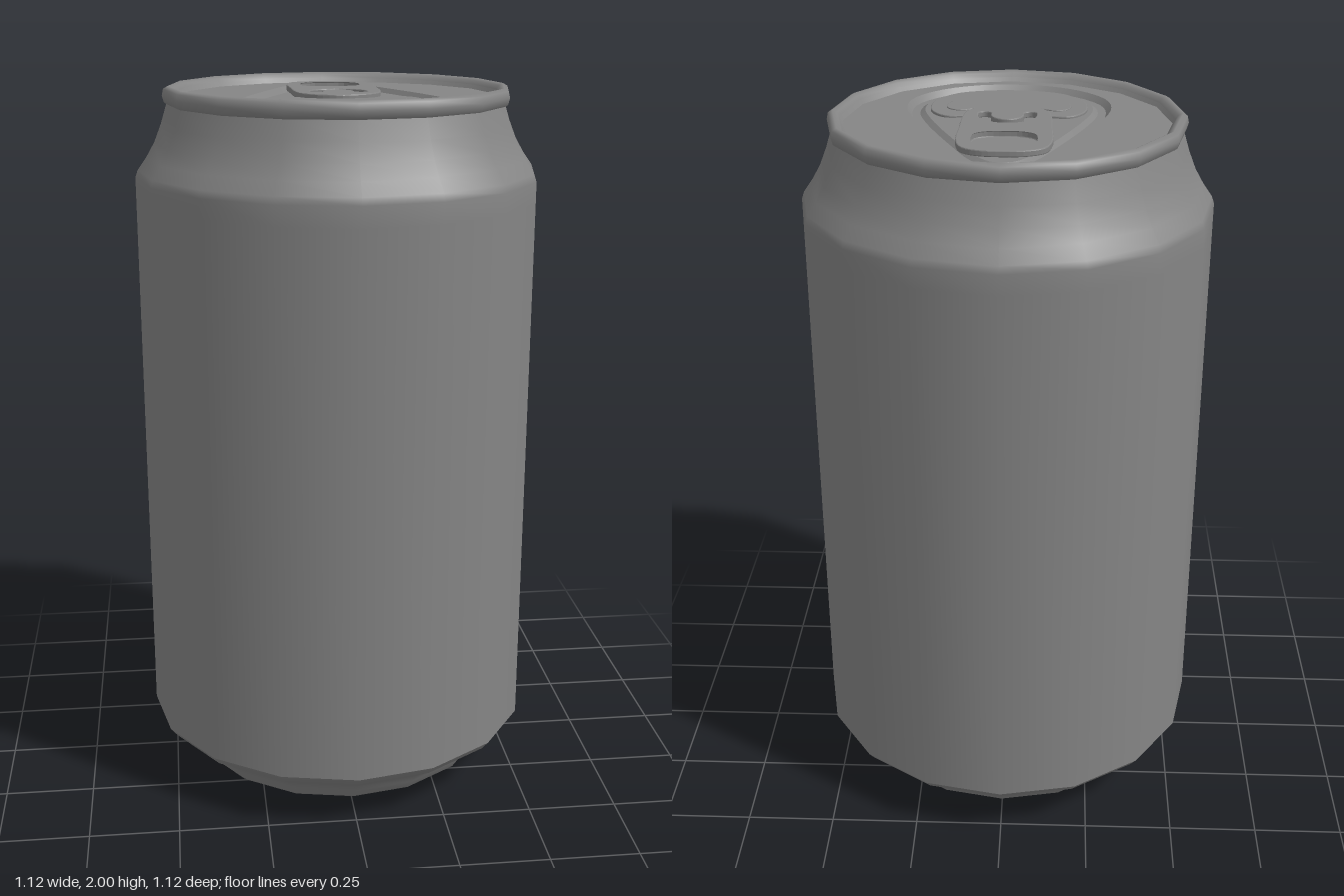
import * as THREE from 'three';

const SIDES = 16;
const LID_Y = 1.972, GROOVE_Y = 1.956, PANEL_Y = 1.966;
const V2 = (x, y) => new THREE.Vector2(x, y);

export function createModel() {
  const can = new THREE.Group();
  can.name = 'drinkCan';
  const mat = new THREE.MeshStandardMaterial({ color: 0x858585, side: THREE.DoubleSide });

  const add = (name, geometry) => {
    const mesh = new THREE.Mesh(geometry, mat);
    mesh.name = name;
    can.add(mesh);
  };
  const lathe = (name, profile) =>
    add(name, new THREE.LatheGeometry(profile.map(([r, y]) => V2(r, y)), SIDES));

  // Mirrored smooth outline from its +x half, as plan points (x, -z)
  const outline = (half, divisions = 56) => {
    const left = half.slice(1, -1).reverse().map(([x, z]) => [-x, z]);
    const pts = [...half, ...left].map(([x, z]) => new THREE.Vector3(x, -z, 0));
    const curve = new THREE.CatmullRomCurve3(pts, true);
    return curve.getPoints(divisions).slice(0, -1).map(p => V2(p.x, p.y));
  };
  // Clockwise outline moved inward by d
  const inset = (pts, d) => pts.map((p, i) => {
    const t = pts[(i + 1) % pts.length].clone().sub(pts.at(i - 1)).normalize();
    return V2(p.x + t.y * d, p.y - t.x * d);
  });
  // Flat sheet or thin plate lying on the lid
  const sheet = (name, shape, y) =>
    add(name, new THREE.ShapeGeometry(shape).rotateX(-Math.PI / 2).translate(0, y, 0));
  const plate = (name, shape, y, depth, bevel) =>
    add(name, new THREE.ExtrudeGeometry(shape, {
      depth: depth - bevel, bevelEnabled: true, bevelThickness: bevel,
      bevelSize: bevel, bevelOffset: -bevel, bevelSegments: 2,
    }).rotateX(-Math.PI / 2).translate(0, y, 0));
  // Band between two matching outlines
  const band = (name, outer, outerY, inner, innerY) => {
    const pos = [], index = [], n = outer.length;
    for (let i = 0; i < n; i++) {
      pos.push(outer[i].x, outerY, -outer[i].y, inner[i].x, innerY, -inner[i].y);
      const a = 2 * i, b = 2 * ((i + 1) % n);
      index.push(a, a + 1, b, b, a + 1, b + 1);
    }
    const g = new THREE.BufferGeometry();
    g.setAttribute('position', new THREE.Float32BufferAttribute(pos, 3));
    g.setIndex(index);
    g.computeVertexNormals();
    add(name, g);
  };

  // Body shell
  lathe('base', [[0, 0], [0.22, 0.004], [0.3, 0.015], [0.4, 0.028], [0.425, 0.031],
    [0.438, 0.042], [0.448, 0.062], [0.467, 0.088], [0.5, 0.112], [0.54, 0.138], [0.56, 0.163]]);
  lathe('wallAndNeck', [[0.56, 0.163], [0.56, 1.7], [0.56, 1.755], [0.553, 1.775],
    [0.528, 1.81], [0.505, 1.85], [0.485, 1.9], [0.468, 1.955]]);
  lathe('rim', [[0.465, 1.95], [0.475, 1.957], [0.48, 1.975], [0.476, 1.993], [0.464, 2],
    [0.452, 1.994], [0.445, 1.983]]);
  lathe('rimInnerWall', [[0.445, 1.983], [0.437, LID_Y]]);

  // Lid with a teardrop groove around a slightly sunken panel
  const tear = outline([[0, -0.395], [0.06, -0.378], [0.115, -0.31], [0.165, -0.2],
    [0.25, 0.02], [0.279, 0.14], [0.267, 0.24], [0.2, 0.33], [0.1, 0.385], [0, 0.398]]);
  const grooveOuter = inset(tear, 0.014);
  const grooveInner = inset(tear, 0.036);
  const panelEdge = inset(tear, 0.05);
  const disc = new THREE.Shape(Array.from({ length: SIDES }, (_, i) => {
    const a = i / SIDES * Math.PI * 2;
    return V2(0.437 * Math.cos(a), 0.437 * Math.sin(a));
  }));
  disc.holes.push(new THREE.Path(tear));
  sheet('lid', disc, LID_Y);
  band('grooveOuterWall', tear, LID_Y, grooveOuter, GROOVE_Y);
  band('grooveFloor', grooveOuter, GROOVE_Y, grooveInner, GROOVE_Y);
  band('grooveInnerWall', grooveInner, GROOVE_Y, panelEdge, PANEL_Y);
  sheet('lidPanel', new THREE.Shape(panelEdge), PANEL_Y);

  // Mouth panel with its raised centre
  plate('mouthPanel', new THREE.Shape(outline([[0, 0.08], [0.12, 0.06], [0.17, 0.06],
    [0.205, 0.1], [0.215, 0.16], [0.205, 0.22], [0.15, 0.295], [0.07, 0.326], [0, 0.333]])),
    PANEL_Y, 0.007, 0.003);
  plate('mouthCentre', new THREE.Shape(outline([[0, 0.15], [0.07, 0.135], [0.13, 0.105],
    [0.165, 0.125], [0.168, 0.17], [0.14, 0.22], [0.07, 0.252], [0, 0.26]])),
    PANEL_Y + 0.006, 0.004, 0.002);

  // Pull tab with finger hole and arched slot
  const tab = new THREE.Shape(outline([[0, -0.312], [0.06, -0.306], [0.105, -0.28],
    [0.123, -0.22], [0.122, -0.1], [0.118, 0.02], [0.105, 0.075], [0.06, 0.12], [0, 0.14]]));
  tab.holes.push(new THREE.Path(outline([[0, -0.273], [0.05, -0.27], [0.082, -0.24],
    [0.088, -0.2], [0.08, -0.155], [0.045, -0.134], [0, -0.131]], 36)));
  const slot = new THREE.Path();
  slot.moveTo(0.078, -0.04);
  slot.lineTo(0.078, -0.025);
  slot.absarc(0, -0.025, 0.078, 0, Math.PI, false);
  slot.lineTo(-0.078, -0.04);
  slot.absarc(-0.061, -0.04, 0.017, Math.PI, Math.PI * 2, false);
  slot.lineTo(-0.044, -0.025);
  slot.absarc(0, -0.025, 0.044, Math.PI, 0, true);
  slot.lineTo(0.044, -0.04);
  slot.absarc(0.061, -0.04, 0.017, Math.PI, Math.PI * 2, false);
  tab.holes.push(slot);
  plate('pullTab', tab, PANEL_Y + 0.005, 0.014, 0.003);

  return can;
}
